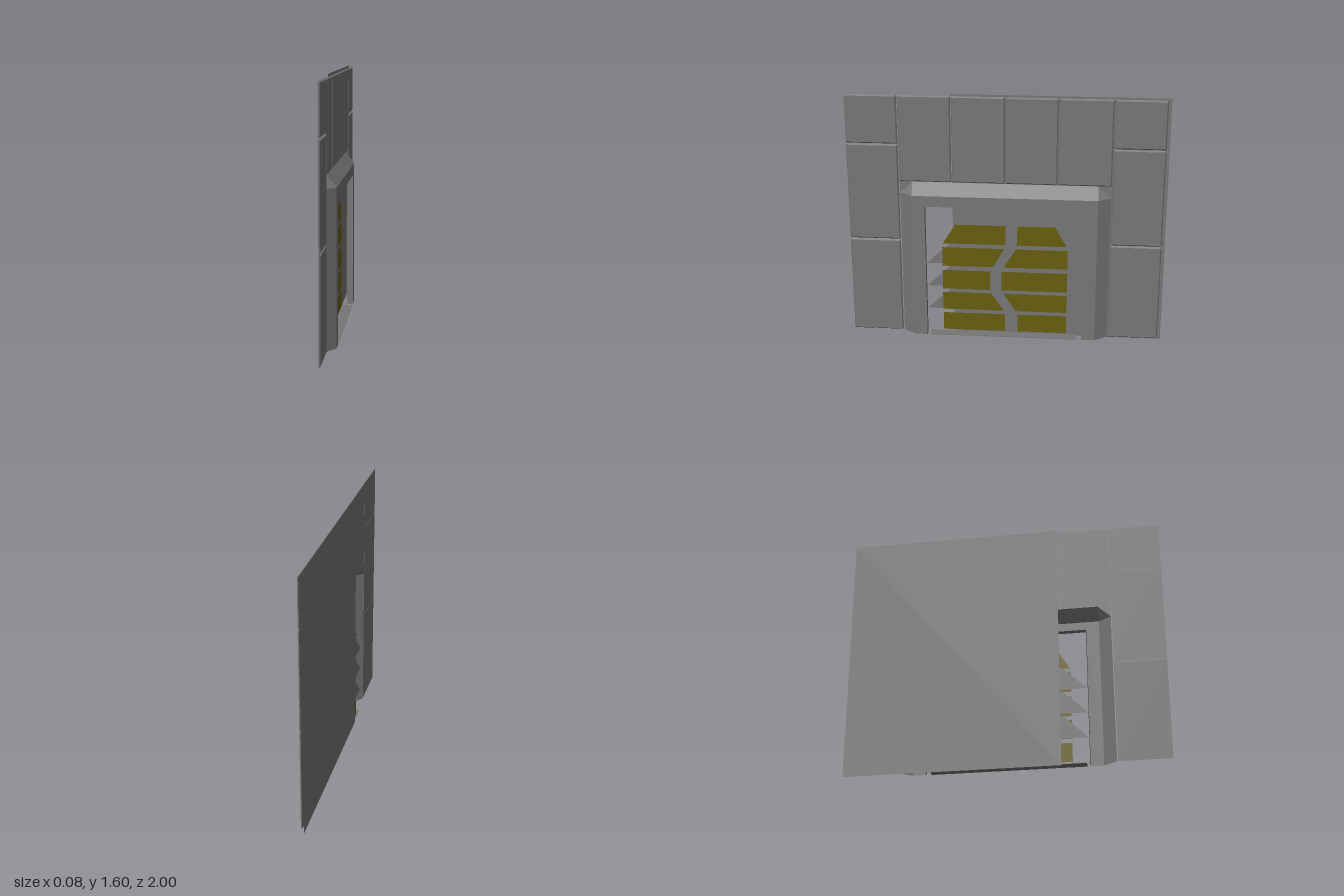
import * as THREE from 'three';

const grey = new THREE.MeshStandardMaterial({ color: 0x767676, side: THREE.DoubleSide });
grey.name = 'wall grey';
const olive = new THREE.MeshStandardMaterial({ color: 0x675d0d, side: THREE.DoubleSide });
olive.name = 'door yellow';

// Flat sheet facing +x, outlined by [z, y] points
function sheet(name, points, x, material) {
  const shape = new THREE.Shape(points.map(([z, y]) => new THREE.Vector2(-z, y)));
  const geometry = new THREE.ShapeGeometry(shape).rotateY(Math.PI / 2).translate(x, 0, 0);
  const mesh = new THREE.Mesh(geometry, material);
  mesh.name = name;
  return mesh;
}

// Thin wall tile whose front face is inset to form a bevel
function tile(z0, z1, y0, y1) {
  const gap = 0.002, inset = 0.008, depth = 0.01;
  const w = z1 - z0 - gap * 2, h = y1 - y0 - gap * 2;
  const geometry = new THREE.BoxGeometry(depth, h, w);
  const p = geometry.attributes.position;
  for (let i = 0; i < p.count; i++) {
    if (p.getX(i) < 0) continue;
    p.setY(i, p.getY(i) - Math.sign(p.getY(i)) * inset);
    p.setZ(i, p.getZ(i) - Math.sign(p.getZ(i)) * inset);
  }
  geometry.computeVertexNormals();
  geometry.translate(-0.015, (y0 + y1) / 2, (z0 + z1) / 2);
  const mesh = new THREE.Mesh(geometry, grey);
  mesh.name = 'wallTile';
  return mesh;
}

// Door surround: sections of outer edge, ridge, inner edge and reveal swept round the opening
function doorFrame() {
  const section = (oz, oy, rz, ry, iz, iy) => [
    [-0.02, oy, oz], [0.038, ry, rz], [0.038, iy, iz], [0, iy, iz],
  ];
  const stations = [
    section(0.668, 0.01, 0.588, 0.01, 0.508, 0.01),
    section(0.668, 0.965, 0.588, 0.965, 0.508, 0.895),
    section(0.588, 1.04, 0.588, 0.965, 0.508, 0.895),
    section(-0.575, 1.04, -0.575, 0.965, -0.492, 0.895),
    section(-0.655, 0.965, -0.575, 0.965, -0.492, 0.895),
    section(-0.655, 0.01, -0.575, 0.01, -0.492, 0.01),
  ];
  const same = (a, b) => a.every((v, i) => v === b[i]);
  const verts = [];
  const tri = (a, b, c) => {
    if (!same(a, b) && !same(b, c) && !same(a, c)) verts.push(...a, ...b, ...c);
  };
  for (let s = 0; s < stations.length - 1; s++) {
    for (let k = 0; k < 3; k++) {
      const a = stations[s][k], b = stations[s + 1][k];
      const c = stations[s + 1][k + 1], d = stations[s][k + 1];
      tri(a, b, c);
      tri(a, c, d);
    }
  }
  const geometry = new THREE.BufferGeometry();
  geometry.setAttribute('position', new THREE.Float32BufferAttribute(verts, 3));
  geometry.computeVertexNormals();
  const mesh = new THREE.Mesh(geometry, grey);
  mesh.name = 'doorFrame';
  return mesh;
}

export function createModel() {
  const model = new THREE.Group();
  model.name = 'wallWithDoor';

  // Backing sheet
  model.add(sheet('backPanel', [[0.34, 0], [-1, 0], [-1, 1.604], [0.34, 1.604]], -0.037, grey));

  // Side columns of tiles and the row over the door
  const tiles = new THREE.Group();
  tiles.name = 'wallTiles';
  const levels = [0.01, 0.65, 1.283, 1.597];
  for (const [z0, z1] of [[0.672, 1], [-0.982, -0.658]]) {
    for (let i = 0; i < 3; i++) tiles.add(tile(z0, z1, levels[i], levels[i + 1]));
  }
  const seams = [-0.658, -0.322, 0.005, 0.34, 0.672];
  for (let i = 0; i < 4; i++) tiles.add(tile(seams[i], seams[i + 1], 1.04, 1.597));
  model.add(tiles);

  // Door surround, wall behind its clipped corners, and sill
  model.add(doorFrame());
  model.add(sheet('leftCorner', [[0.668, 0.965], [0.668, 1.045], [0.588, 1.04]], -0.02, grey));
  model.add(sheet('rightCorner', [[-0.655, 0.965], [-0.655, 1.045], [-0.575, 1.04]], -0.02, grey));
  const sill = new THREE.Mesh(new THREE.BoxGeometry(0.066, 0.004, 0.95), grey);
  sill.name = 'sill';
  sill.position.set(0.003, 0.01, 0.015);
  model.add(sill);

  // Pointed teeth on the door's free edge
  for (const y of [0.485, 0.327, 0.167]) {
    model.add(sheet('doorTooth', [[0.51, y], [0.34, y], [0.34, y + 0.145], [0.36, y + 0.14]], -0.033, grey));
  }

  // Door plates: bottom, top, then z at bottom outer, bottom inner, top inner, top outer
  const plates = [
    [0.625, 0.755, 0.405, 0.003, 0.003, 0.325],
    [0.625, 0.755, -0.385, -0.067, -0.073, -0.312],
    [0.47, 0.598, 0.41, 0.085, 0.013, 0.41],
    [0.47, 0.598, -0.392, 0.018, -0.063, -0.392],
    [0.31, 0.44, 0.41, 0.105, 0.105, 0.41],
    [0.31, 0.44, -0.392, 0.029, 0.029, -0.392],
    [0.165, 0.285, 0.41, 0.013, 0.097, 0.41],
    [0.165, 0.285, -0.39, -0.063, 0.018, -0.39],
    [0.02, 0.14, 0.408, 0.006, 0.006, 0.408],
    [0.02, 0.14, -0.39, -0.075, -0.075, -0.39],
  ];
  for (const [y0, y1, a, b, c, d] of plates) {
    model.add(sheet('doorPlate', [[a, y0], [b, y0], [c, y1], [d, y1]], -0.029, olive));
  }
  return model;
}
